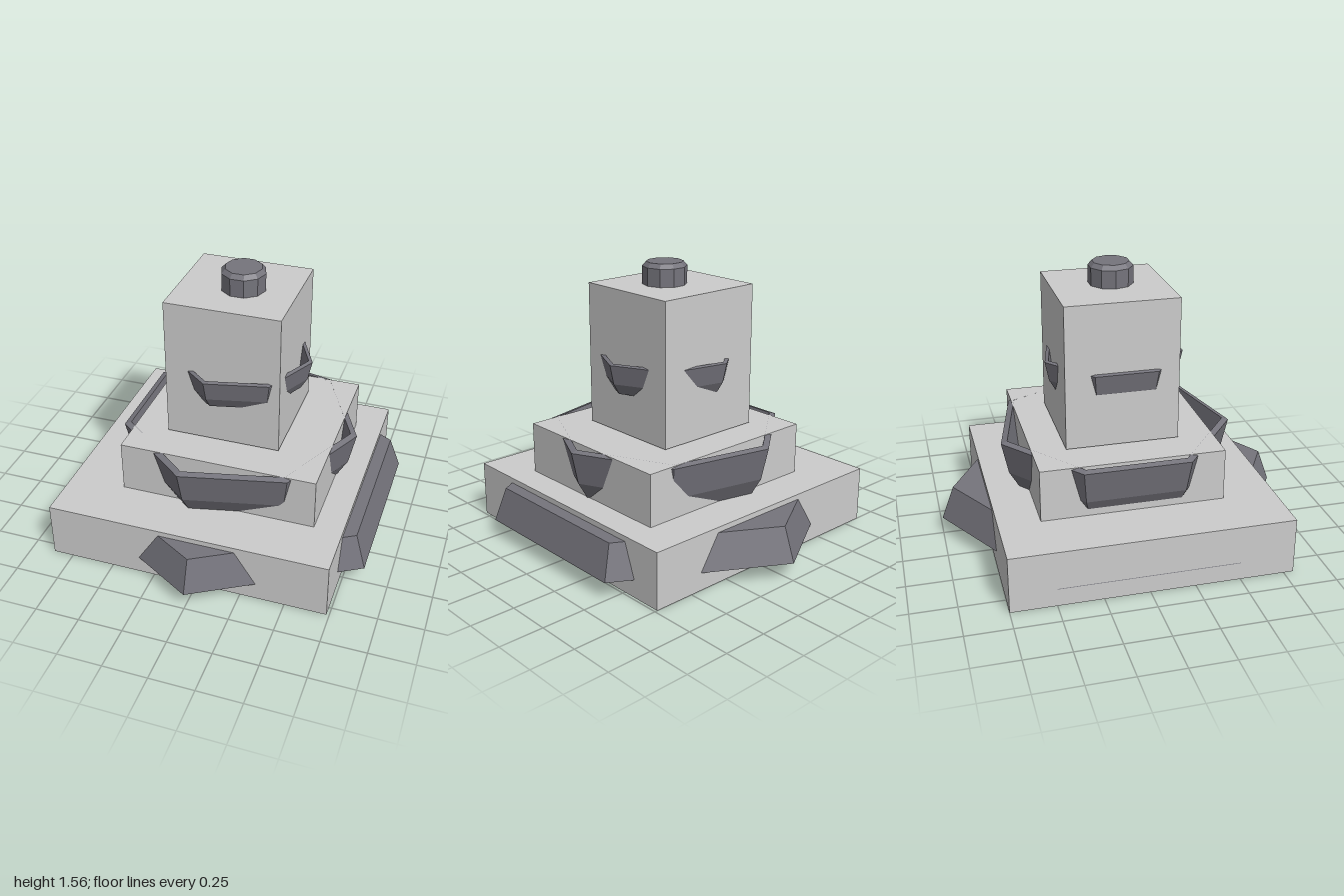
import * as THREE from 'three';

export function createModel() {
  const model = new THREE.Group();
  model.name = 'steppedTower';

  const stone = new THREE.MeshStandardMaterial({ color: 0xcccccc, flatShading: true });
  stone.name = 'light stone';
  const slate = new THREE.MeshStandardMaterial({ color: 0x75747c, flatShading: true, side: THREE.DoubleSide });
  slate.name = 'dark slate';

  const add = (name, geometry, material, x = 0, y = 0, z = 0) => {
    const mesh = new THREE.Mesh(geometry, material);
    mesh.name = name;
    mesh.position.set(x, y, z);
    model.add(mesh);
    return mesh;
  };

  // Stone blocks, given by their limits on each axis
  const block = (name, [x0, x1], [y0, y1], [z0, z1]) =>
    add(name, new THREE.BoxGeometry(x1 - x0, y1 - y0, z1 - z0), stone,
      (x0 + x1) / 2, (y0 + y1) / 2, (z0 + z1) / 2);
  block('baseBlock', [-0.865, 0.735], [0, 0.32], [-0.75, 0.805]);
  block('middleBlock', [-0.545, 0.575], [0.32, 0.615], [-0.52, 0.505]);
  block('towerBlock', [-0.342, 0.306], [0.625, 1.435], [-0.335, 0.297]);

  // Six-sided skirt around the base: sloping wall, open below, with a lid
  const skirt = [[1, 0.1], [0.93, 0.29], [0, 0.29]];
  add('hexagonalSkirt', new THREE.LatheGeometry(
    skirt.map(([r, y]) => new THREE.Vector2(r, y)), 6), slate);

  // Seven-sided hollow bowls: up the outside, over the rim, down the inside
  const bowlProfile = [
    [0.6, -0.5], [0.85, -0.43], [0.94, -0.275], [1, 0],
    [0.945, 0.015], [0.885, -0.265], [0.79, -0.4], [0.55, -0.47],
  ];
  const bowl = (name, radius, rimY) => add(name, new THREE.LatheGeometry(
    bowlProfile.map(([r, y]) => new THREE.Vector2(r * radius, y * radius)), 7, Math.PI / 2),
  slate, 0, rimY, 0);
  bowl('lowerBowl', 0.68, 0.605);
  bowl('upperBowl', 0.405, 1.04);

  // Ten-sided central column with a bevelled top
  const column = [[0, 0.3], [0.125, 0.3], [0.125, 1.535], [0.103, 1.56], [0, 1.56]];
  add('centralColumn', new THREE.LatheGeometry(
    column.map(([r, y]) => new THREE.Vector2(r, y)), 10, Math.PI / 2), slate, 0.008, 0, 0);

  return model;
}
